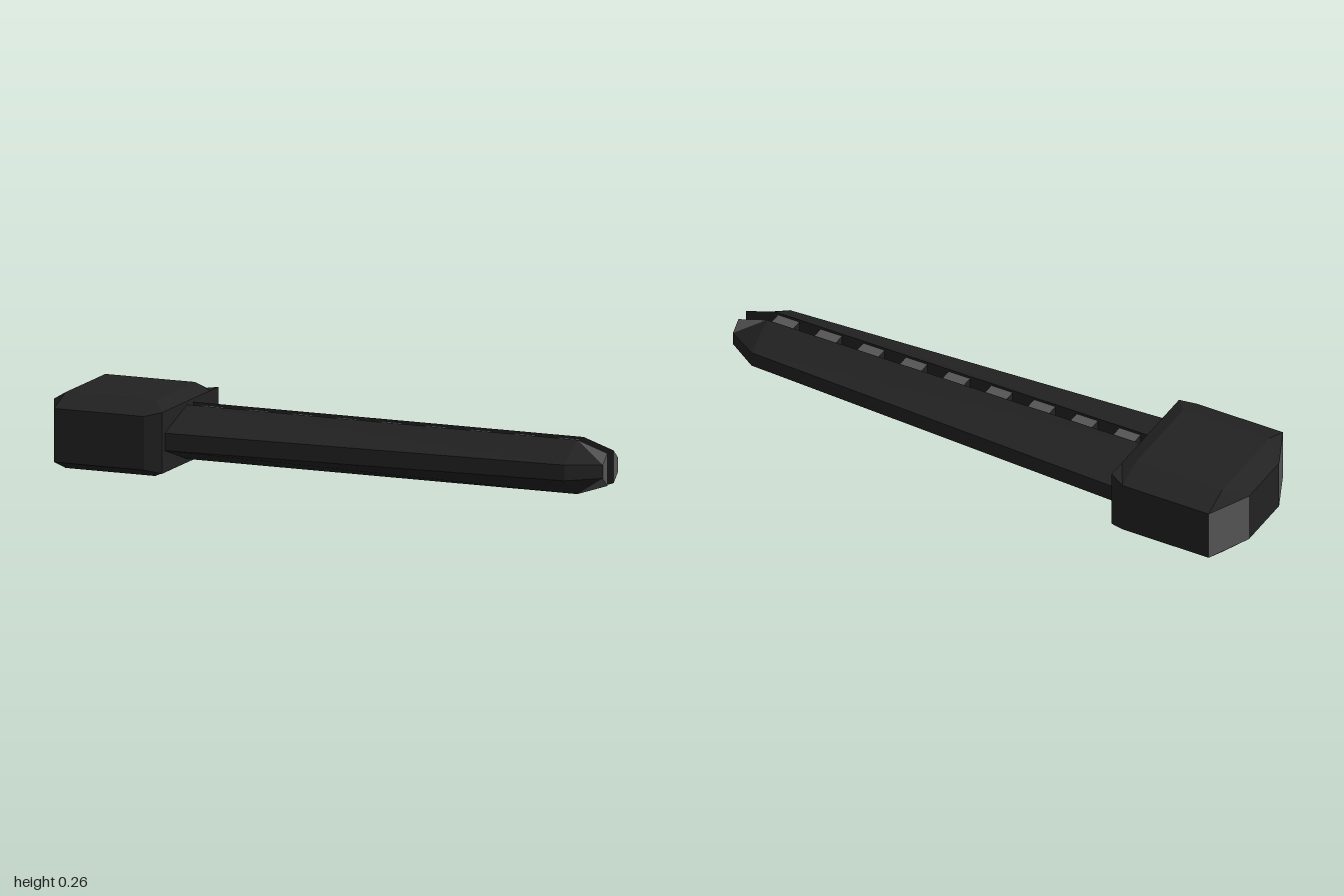
import * as THREE from 'three';

const dark = new THREE.MeshStandardMaterial({ color: 0x222222 });
dark.name = 'charcoal';
const light = new THREE.MeshStandardMaterial({ color: 0x555555 });
light.name = 'worn grey';

const MID = 0.13; // height of the horizontal symmetry plane

// Faceted mesh from polygons (arrays of [x, y, z]), each fanned into triangles
function facets(name, polygons, material, mirrored = false) {
  const pos = [];
  for (const poly of polygons) {
    for (let i = 1; i < poly.length - 1; i++) {
      const tri = [poly[0], poly[i], poly[i + 1]];
      if (new THREE.Triangle(...tri.map(p => new THREE.Vector3(...p))).getArea() < 1e-7) continue;
      if (mirrored) tri.reverse();
      for (const [x, y, z] of tri) pos.push(x, y, mirrored ? -z : z);
    }
  }
  const geo = new THREE.BufferGeometry();
  geo.setAttribute('position', new THREE.Float32BufferAttribute(pos, 3));
  geo.computeVertexNormals();
  const mesh = new THREE.Mesh(geo, material);
  mesh.name = name;
  return mesh;
}

// Side quad between matching edges of two sections
const side = (a, b, i) => {
  const j = (i + 1) % a.length;
  return [a[i], a[j], b[j], b[i]];
};

// Octagonal head section: half width z, half height h, flat top half width t, side half height s
const octagon = (x, z, h, t, s) => [
  [-z, s], [-t, h], [t, h], [z, s], [z, -s], [t, -h], [-t, -h], [-z, -s],
].map(([pz, py]) => [x, MID + py, pz]);

function createHead() {
  const head = new THREE.Group();
  head.name = 'head';
  const rings = [
    octagon(-1, 0.105, 0.09, 0.105, 0.09),
    octagon(-0.93, 0.26, 0.13, 0.165, 0.092),
    octagon(-0.6, 0.26, 0.13, 0.165, 0.092),
    octagon(-0.545, 0.235, 0.105, 0.165, 0.105),
  ];
  const body = [[...rings[0]].reverse(), rings[3]];
  const bevels = [];
  for (let r = 0; r < 3; r++) {
    for (let i = 0; i < 8; i++) {
      const bevel = r === 0 && (i === 3 || i === 7);
      (bevel ? bevels : body).push(side(rings[r], rings[r + 1], i));
    }
  }
  head.add(facets('headBody', body, dark), facets('headBevels', bevels, light));
  return head;
}

function createProng(name, mirrored) {
  const prong = new THREE.Group();
  prong.name = name;
  // Trapezoid section: tall inner edge, short outer edge
  const section = (x, outer, innerH, outerH) => [
    [x, MID + innerH, 0.026], [x, MID + outerH, outer],
    [x, MID - outerH, outer], [x, MID - innerH, 0.026],
  ];
  const root = section(-0.56, 0.21, 0.093, 0.03);
  const neck = section(0.89, 0.135, 0.093, 0.027);
  const tip = section(1, 0.064, 0.056, 0.023);
  const body = [0, 1, 2, 3].map(i => side(root, neck, i));
  body.push(side(neck, tip, 1), side(neck, tip, 3));
  body.push([neck[0], neck[1], tip[1]], [neck[2], neck[3], tip[2]]);
  const worn = [[neck[0], tip[1], tip[0]], [neck[3], tip[3], tip[2]], tip];
  prong.add(facets('prongBody', body, dark, mirrored), facets('prongTip', worn, light, mirrored));
  return prong;
}

export function createModel() {
  const model = new THREE.Group();
  model.name = 'splitPin';
  model.add(createHead(), createProng('frontProng', false), createProng('backProng', true));

  // Rungs bridging the slot, light on top and bottom
  const rungs = new THREE.Group();
  rungs.name = 'rungs';
  const rungGeo = new THREE.BoxGeometry(0.082, 0.168, 0.052);
  const rungMaterials = [dark, dark, light, light, dark, dark];
  for (let i = 0; i < 9; i++) {
    const rung = new THREE.Mesh(rungGeo, rungMaterials);
    rung.name = 'rung';
    rung.position.set(-0.472 + i * 0.1635, MID, 0);
    rungs.add(rung);
  }
  model.add(rungs);
  return model;
}
